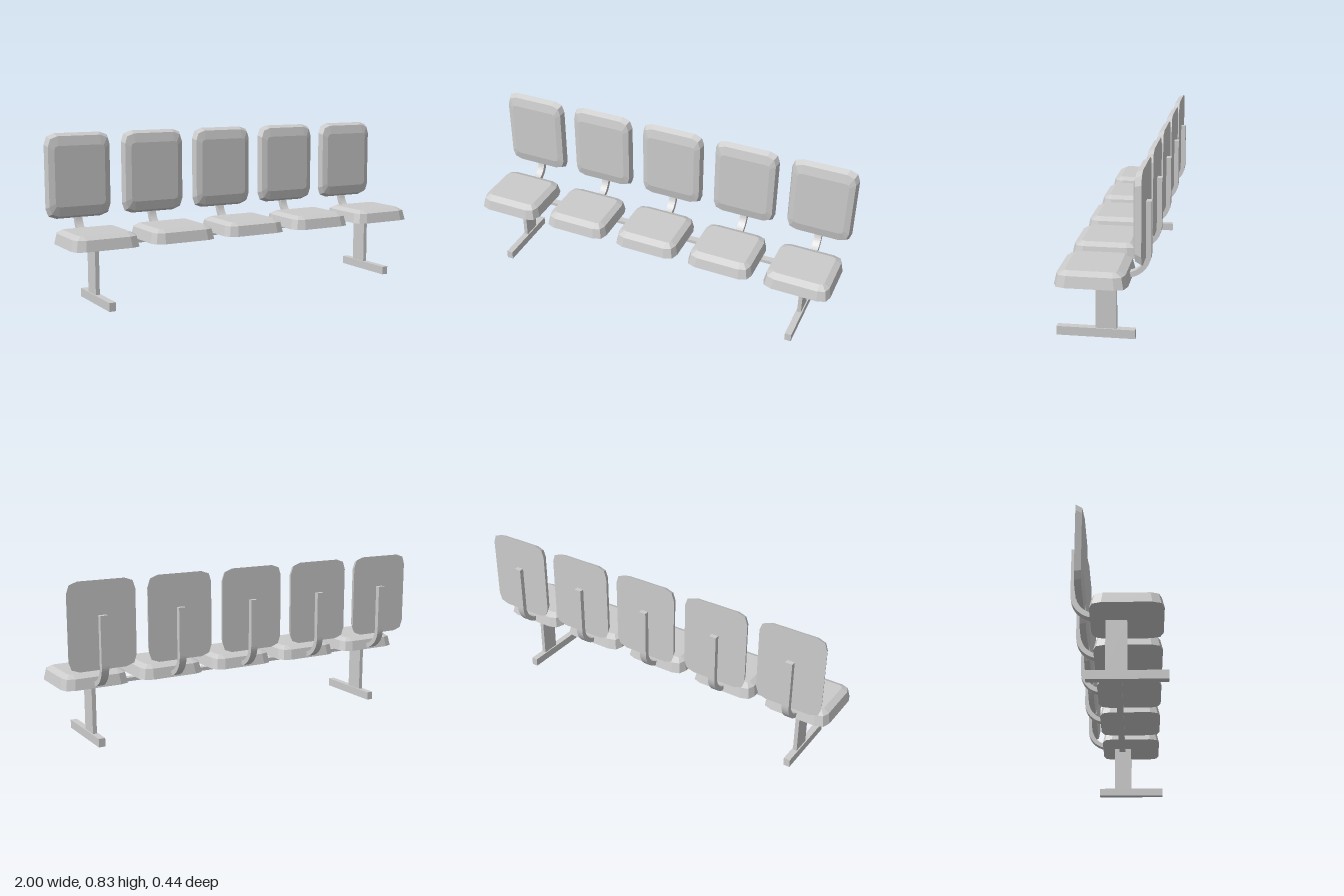
import * as THREE from 'three';

const mat = new THREE.MeshStandardMaterial({ color: 0xcccccc, flatShading: true });

function add(parent, name, geometry, x = 0, y = 0, z = 0) {
  const mesh = new THREE.Mesh(geometry, mat);
  mesh.name = name;
  mesh.position.set(x, y, z);
  parent.add(mesh);
  return mesh;
}

// Rectangle with two-step rounded corners, counter-clockwise
function outline(w, h, c) {
  const q = [[w, h - c], [w - c * 0.25, h - c * 0.27], [w - c, h]];
  const flip = (p, sx, sy) => p.map(([x, y]) => [x * sx, y * sy]);
  return [...q, ...flip(q, -1, 1).reverse(), ...flip(q, -1, -1), ...flip(q, 1, -1).reverse()];
}

// Faceted pad stacked from [halfWidth, halfHeight, corner, z] layers, closed at both ends
function padGeometry(layers) {
  const pos = [], index = [];
  const rings = layers.map(([w, h, c, z]) => outline(w, h, c).map(([x, y]) => [x, y, z]));
  const n = rings[0].length;
  rings.forEach(r => r.forEach(p => pos.push(...p)));
  for (let k = 0; k < rings.length - 1; k++) {
    for (let i = 0; i < n; i++) {
      const a = k * n + i, b = k * n + (i + 1) % n;
      index.push(a, b, b + n, a, b + n, a + n);
    }
  }
  const top = (rings.length - 1) * n;
  for (let i = 1; i < n - 1; i++) {
    index.push(0, i + 1, i, top, top + i, top + i + 1);
  }
  const g = new THREE.BufferGeometry();
  g.setAttribute('position', new THREE.Float32BufferAttribute(pos, 3));
  g.setIndex(index);
  const flat = g.toNonIndexed();
  flat.computeVertexNormals();
  return flat;
}

// Curved flat bar joining seat and backrest, drawn in (z, y) and extruded along x
function armGeometry(width) {
  const s = new THREE.Shape();
  const cz = -0.1, cy = 0.42, ro = 0.12, ri = 0.095;
  s.moveTo(cz - ri, 0.663);
  s.lineTo(cz - ro, 0.663);
  s.lineTo(cz - ro, cy);
  s.absarc(cz, cy, ro, Math.PI, Math.PI * 1.5, false);
  s.lineTo(cz + 0.04, cy - ro);
  s.lineTo(cz + 0.04, cy - ri);
  s.lineTo(cz, cy - ri);
  s.absarc(cz, cy, ri, Math.PI * 1.5, Math.PI, true);
  s.closePath();
  const g = new THREE.ExtrudeGeometry(s, { depth: width, bevelEnabled: false, curveSegments: 8 });
  g.translate(0, 0, -width / 2);
  g.rotateY(-Math.PI / 2);
  return g;
}

export function createModel() {
  const model = new THREE.Group();
  model.name = 'bench';

  const seatGeo = padGeometry([
    [0.174, 0.167, 0.055, 0], [0.163, 0.155, 0.05, 0.053], [0.133, 0.119, 0.02, 0.07],
  ]).rotateX(-Math.PI / 2);
  const backGeo = padGeometry([
    [0.174, 0.215, 0.055, 0], [0.163, 0.201, 0.05, 0.03], [0.133, 0.153, 0.02, 0.04],
  ]);
  const armGeo = armGeometry(0.038);

  // Five identical chairs
  for (let i = -2; i <= 2; i++) {
    const chair = new THREE.Group();
    chair.name = 'chair';
    chair.position.x = i * 0.413;
    add(chair, 'seat', seatGeo, 0, 0.295, 0.0375);
    add(chair, 'backrest', backGeo, 0, 0.615, -0.195);
    add(chair, 'backArm', armGeo);
    model.add(chair);
  }

  // Beam carrying the seats
  add(model, 'beam', new THREE.BoxGeometry(1.65, 0.018, 0.035), 0, 0.286, -0.015);

  // Two legs with long feet
  for (const side of [-1, 1]) {
    const leg = new THREE.Group();
    leg.name = side < 0 ? 'rightLeg' : 'leftLeg';
    leg.position.x = side * 0.825;
    add(leg, 'post', new THREE.BoxGeometry(0.021, 0.255, 0.098), 0, 0.1675, -0.011);
    add(leg, 'foot', new THREE.BoxGeometry(0.034, 0.043, 0.369), 0, 0.0215, 0.0375);
    model.add(leg);
  }
  return model;
}
